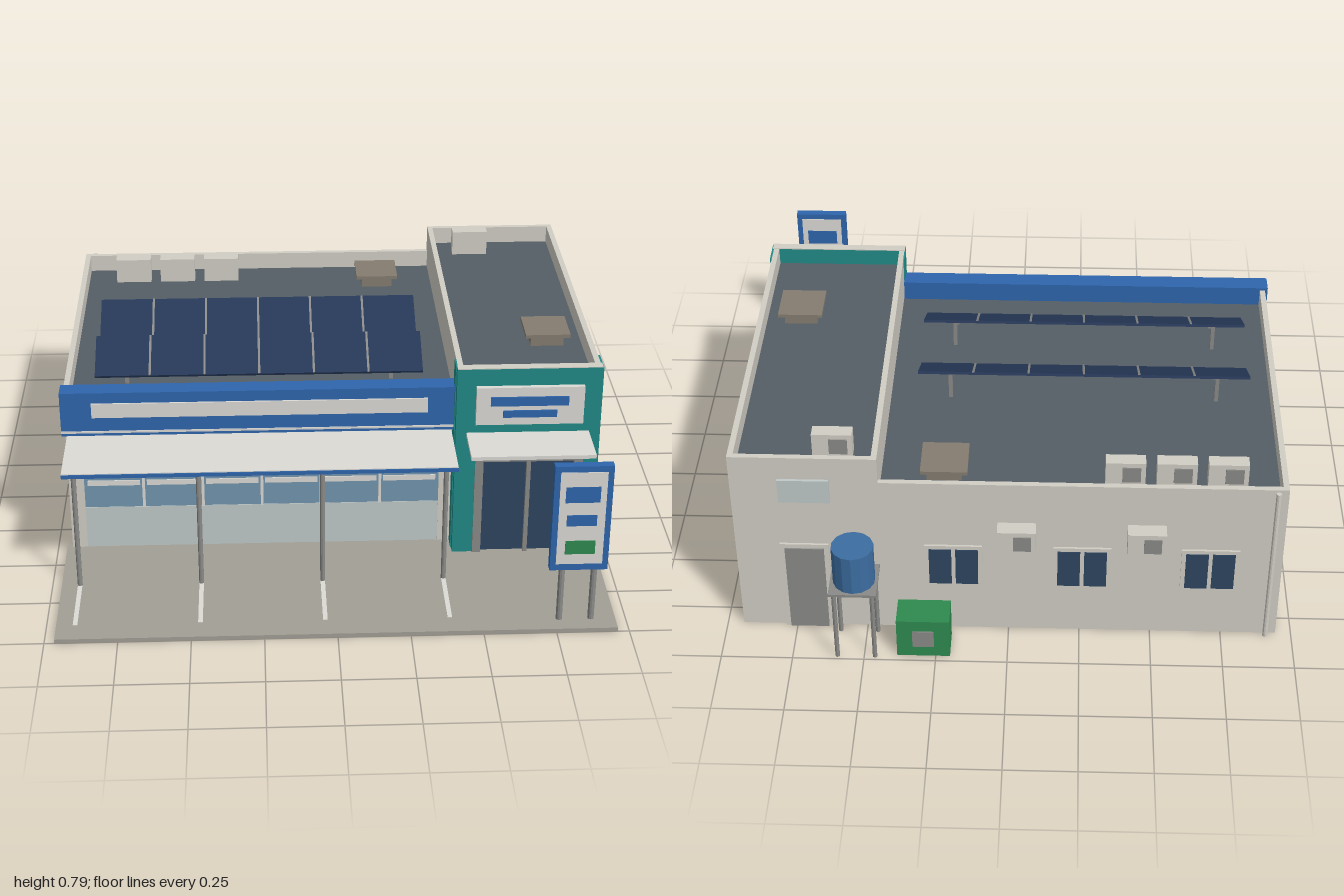
import * as THREE from 'three';

const COLORS = {
  wall: 0xd0cdc4, roof: 0x565e66, teal: 0x218a87, blue: 0x2f66ad, solar: 0x263858,
  paving: 0xa19e95, white: 0xdcdad5, metal: 0x8a8a88, darkGlass: 0x2e4560, glass: 0x7295ad,
  bulkhead: 0xc0c8c8, hatch: 0x857c70, green: 0x2f8a50, tank: 0x3c6da0,
};
const mats = {};
const mat = (key) => (mats[key] ??= new THREE.MeshStandardMaterial({ color: COLORS[key], flatShading: true }));

export function createModel() {
  const model = new THREE.Group();
  model.name = 'shopBuilding';

  // Box given by its extents on each axis
  const box = (name, key, x0, x1, y0, y1, z0, z1, parent = model) => {
    const m = new THREE.Mesh(new THREE.BoxGeometry(x1 - x0, y1 - y0, z1 - z0), mat(key));
    m.position.set((x0 + x1) / 2, (y0 + y1) / 2, (z0 + z1) / 2);
    m.name = name;
    parent.add(m);
    return m;
  };
  const post = (name, key, x, z, y0, y1, r, sides = 10, parent = model) => {
    const m = new THREE.Mesh(new THREE.CylinderGeometry(r, r, y1 - y0, sides), mat(key));
    m.position.set(x, (y0 + y1) / 2, z);
    m.name = name;
    parent.add(m);
    return m;
  };
  const group = (name) => {
    const g = new THREE.Group();
    g.name = name;
    model.add(g);
    return g;
  };

  // Forecourt with parking lines
  box('forecourt', 'paving', -0.965, 0.96, 0, 0.015, 0.39, 1);
  for (const x of [-0.9, -0.47, -0.04, 0.39])
    box('parkingLine', 'white', x - 0.008, x + 0.008, 0.014, 0.017, 0.66, 0.915);

  // Main hall: open-bottomed shell with parapet walls and sunken roof
  const hallTop = 0.655, towerTop = 0.755, hallRoof = 0.59, towerRoof = 0.69;
  box('hallSideWall', 'wall', -0.945, -0.925, 0, hallTop, -0.825, 0.4);
  box('hallBackWall', 'wall', -0.925, 0.44, 0, hallTop, -0.825, -0.805);
  box('hallRoof', 'roof', -0.925, 0.445, hallRoof - 0.02, hallRoof, -0.805, 0.375);

  // Tower shell
  box('dividingWall', 'wall', 0.44, 0.46, 0, towerTop, -0.825, 0.455);
  box('towerSideWall', 'wall', 0.923, 0.943, 0, towerTop, -0.825, 0.455);
  box('towerBackWall', 'wall', 0.46, 0.923, 0, towerTop, -0.825, -0.805);
  box('towerRoof', 'roof', 0.46, 0.923, towerRoof - 0.02, towerRoof, -0.805, 0.455);

  // Pale coping on the tower parapet
  box('towerCoping', 'wall', 0.438, 0.947, towerTop, towerTop + 0.003, 0.453, 0.486);

  // Teal tower front with doorway, and its side returns
  box('towerFrontJamb', 'teal', 0.437, 0.515, 0, 0.455, 0.455, 0.485);
  box('towerFrontJamb', 'teal', 0.89, 0.95, 0, 0.455, 0.455, 0.485);
  box('towerFrontUpper', 'teal', 0.437, 0.95, 0.455, towerTop, 0.455, 0.485);
  box('towerReturn', 'teal', 0.943, 0.95, 0, towerTop, 0.385, 0.455);
  box('towerReturn', 'teal', 0.434, 0.44, 0, towerTop, 0.4, 0.455);

  // Tower sign panel with bars
  box('towerSign', 'white', 0.505, 0.885, 0.545, 0.69, 0.485, 0.503);
  box('towerSignBar', 'blue', 0.555, 0.83, 0.62, 0.655, 0.503, 0.508);
  box('towerSignBar', 'blue', 0.6, 0.79, 0.575, 0.602, 0.503, 0.508);

  // Entrance: frame, header and double doors
  const entrance = group('entrance');
  box('doorGlass', 'darkGlass', 0.53, 0.875, 0.015, 0.41, 0.462, 0.474, entrance);
  for (const [a, b] of [[0.51, 0.54], [0.695, 0.71], [0.865, 0.895]])
    box('doorPost', 'metal', a, b, 0.015, 0.41, 0.458, 0.492, entrance);
  box('doorTopRail', 'metal', 0.51, 0.895, 0.405, 0.46, 0.458, 0.49, entrance);
  box('shutterHousing', 'metal', 0.525, 0.885, 0.405, 0.443, 0.485, 0.52, entrance);
  box('entranceCanopy', 'white', 0.475, 0.91, 0.492, 0.506, 0.485, 0.665, entrance);

  // Shop front: end piers, lintel and glazed bays
  const front = group('shopFront');
  box('pier', 'wall', -0.925, -0.89, 0, 0.5, 0.38, 0.4, front);
  box('pier', 'wall', 0.39, 0.44, 0, 0.5, 0.38, 0.4, front);
  box('lintel', 'wall', -0.89, 0.39, 0.432, 0.5, 0.38, 0.4, front);
  box('windowGlass', 'glass', -0.89, 0.39, 0.18, 0.432, 0.383, 0.396, front);
  box('bulkhead', 'bulkhead', -0.89, 0.39, 0, 0.18, 0.383, 0.398, front);
  const bay = 1.28 / 6;
  for (let i = 0; i < 6; i++) {
    const x = -0.89 + i * bay;
    box('glassBand', 'white', x + 0.012, x + bay - 0.012, 0.27, 0.29, 0.396, 0.4, front);
    if (i) box('mullion', 'white', x - 0.005, x + 0.005, 0.18, 0.432, 0.394, 0.404, front);
  }
  box('windowHead', 'metal', -0.89, 0.39, 0.43, 0.436, 0.394, 0.404, front);

  // Blue fascia with its pale sign strip and lower trim
  box('fascia', 'blue', -0.955, 0.438, 0.497, 0.665, 0.37, 0.44);
  box('fasciaStrip', 'white', -0.845, 0.34, 0.57, 0.625, 0.44, 0.446);
  box('fasciaLine', 'white', -0.955, 0.438, 0.508, 0.516, 0.44, 0.443);

  // Front canopy on slim posts
  box('canopy', 'white', -0.94, 0.43, 0.462, 0.477, 0.4, 0.68);
  box('canopyTrim', 'blue', -0.94, 0.43, 0.46, 0.474, 0.68, 0.683);
  for (const x of [-0.9, -0.47, -0.04, 0.39])
    post('canopyPost', 'metal', x, 0.66, 0.015, 0.462, 0.009);

  // Two rows of tilted solar panels on props
  const tilt = 0.46, slope = 0.165 / Math.cos(tilt);
  for (const z of [-0.178, 0.143]) {
    const row = group('solarRow');
    const table = new THREE.Group();
    table.name = 'solarTable';
    table.position.set(0, 0.662, z);
    table.rotation.x = tilt;
    row.add(table);
    box('solarPanel', 'solar', -0.845, 0.34, -0.005, 0.005, -slope / 2, slope / 2, table);
    for (let i = 1; i < 6; i++) {
      const x = -0.845 + (i * 1.185) / 6;
      box('panelJoint', 'metal', x - 0.004, x + 0.004, 0.004, 0.007, -slope / 2, slope / 2, table);
    }
    for (const x of [-0.73, 0.225]) {
      box('panelProp', 'metal', x - 0.007, x + 0.007, hallRoof, 0.695, z - 0.074, z - 0.06, row);
      box('panelFoot', 'metal', x - 0.007, x + 0.007, hallRoof, 0.624, z + 0.06, z + 0.074, row);
    }
  }

  // Cooling units: body with a grille on the rear face
  const coolingUnit = (name, x0, x1, y0, y1, z0, z1) => {
    const g = group(name);
    box('unitBody', 'wall', x0, x1, y0, y1, z0, z1, g);
    const w = x1 - x0, h = y1 - y0;
    box('unitGrille', 'metal', x0 + w * 0.12, x0 + w * 0.58, y0 + h * 0.18, y1 - h * 0.18, z0 - 0.004, z0, g);
  };
  for (const x of [-0.815, -0.64, -0.465])
    coolingUnit('roofCoolingUnit', x, x + 0.137, hallRoof, hallRoof + 0.095, -0.735, -0.685);
  coolingUnit('roofCoolingUnit', 0.53, 0.667, towerRoof, 0.785, -0.735, -0.685);
  for (const x of [-0.54, -0.095])
    coolingUnit('wallCoolingUnit', x, x + 0.132, 0.395, 0.49, -0.88, -0.825);

  // Roof hatches: curb with an overhanging lid
  for (const [x, y, z] of [[0.222, hallRoof, -0.665], [0.795, towerRoof, 0.11]]) {
    box('hatchCurb', 'hatch', x - 0.06, x + 0.06, y, y + 0.04, z - 0.06, z + 0.06);
    box('hatchLid', 'hatch', x - 0.081, x + 0.081, y + 0.04, y + 0.053, z - 0.081, z + 0.081);
  }

  // Rear windows, door, vent and downpipe
  for (const x of [-0.697, -0.255, 0.19]) {
    const win = group('rearWindow');
    box('windowFrame', 'wall', x - 0.1, x + 0.1, 0.2, 0.385, -0.833, -0.825, win);
    for (const s of [-1, 1])
      box('windowPane', 'darkGlass', x + s * 0.046 - 0.039, x + s * 0.046 + 0.039, 0.215, 0.37, -0.836, -0.833, win);
  }
  box('rearDoorFrame', 'wall', 0.62, 0.79, 0, 0.38, -0.833, -0.825);
  box('rearDoor', 'metal', 0.637, 0.773, 0, 0.363, -0.837, -0.833);
  box('rearVent', 'bulkhead', 0.605, 0.78, 0.57, 0.665, -0.835, -0.825);
  post('downpipe', 'wall', -0.908, -0.838, 0, 0.65, 0.009);

  // Generator cabinet
  const generator = group('generator');
  box('generatorBody', 'green', 0.2, 0.385, 0, 0.16, -0.975, -0.863, generator);
  box('generatorGrille', 'metal', 0.255, 0.33, 0.045, 0.115, -0.979, -0.975, generator);

  // Water tank on a four-legged stand
  const stand = group('waterTank');
  post('tankBody', 'tank', 0.527, -0.92, 0.302, 0.455, 0.073, 14, stand);
  box('tankPlatform', 'metal', 0.445, 0.61, 0.292, 0.302, -1, -0.838, stand);
  for (const x of [0.462, 0.593])
    for (const z of [-0.983, -0.855]) post('tankLeg', 'metal', x, z, 0, 0.292, 0.008, 8, stand);

  // Roadside sign, alike on both faces
  const pylon = group('roadsideSign');
  box('signBoard', 'blue', 0.72, 0.918, 0.22, 0.622, 0.92, 0.95, pylon);
  for (const x of [0.765, 0.875]) post('signPost', 'metal', x, 0.935, 0.015, 0.22, 0.011, 10, pylon);
  for (const s of [-1, 1]) {
    const layer = (name, key, x0, x1, y0, y1, d) =>
      box(name, key, x0, x1, y0, y1, 0.935 + s * d - 0.0015, 0.935 + s * d + 0.0015, pylon);
    layer('signFace', 'white', 0.74, 0.898, 0.245, 0.6, 0.0155);
    layer('signBar', 'blue', 0.76, 0.877, 0.485, 0.545, 0.0175);
    layer('signBar', 'blue', 0.768, 0.87, 0.395, 0.437, 0.0175);
    layer('signBar', 'green', 0.768, 0.87, 0.285, 0.337, 0.0175);
  }
  return model;
}
